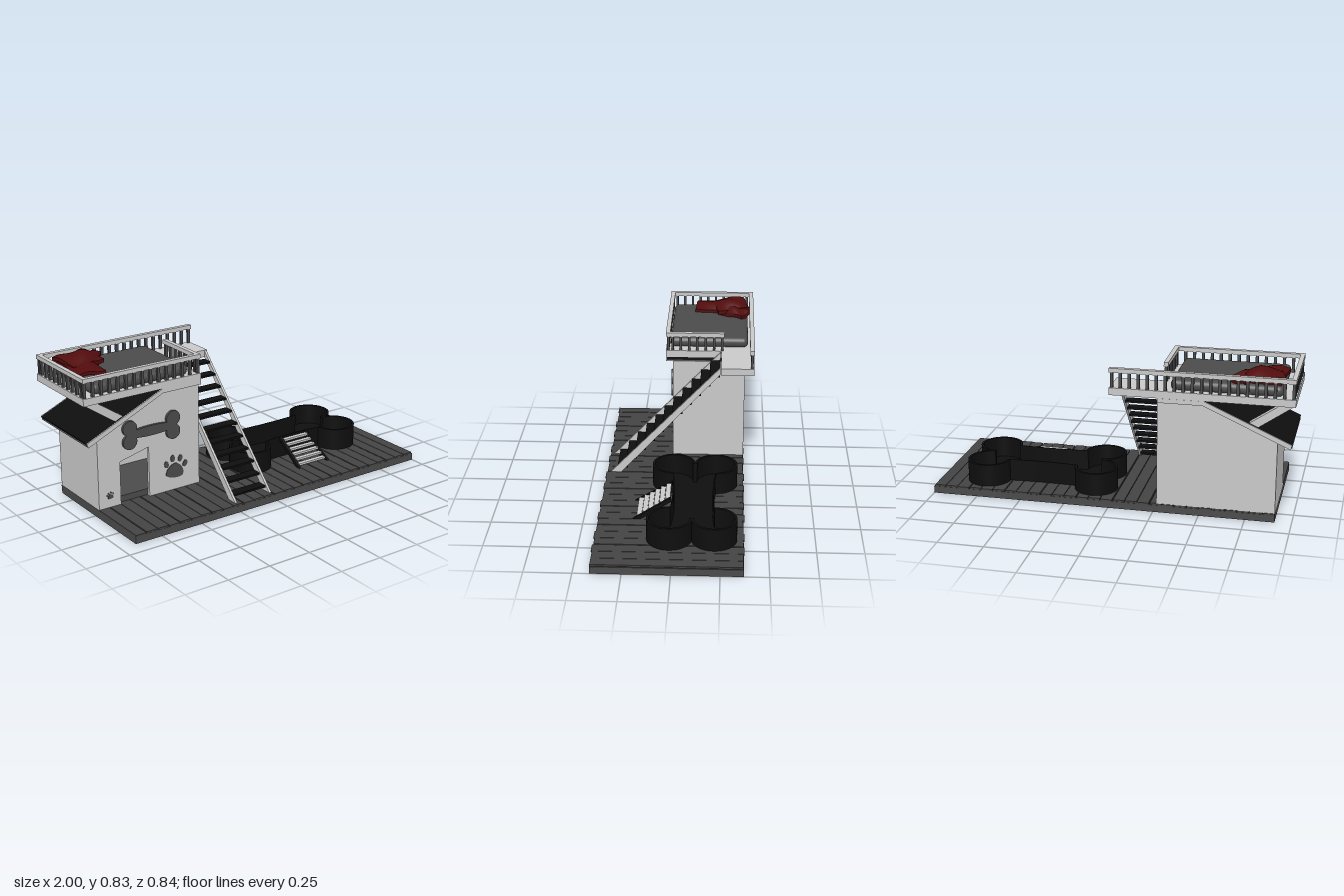
import * as THREE from 'three';
import { toCreasedNormals } from 'three/addons/utils/BufferGeometryUtils.js';
import { RoundedBoxGeometry } from 'three/addons/geometries/RoundedBoxGeometry.js';

const mat = (name, color) => new THREE.MeshStandardMaterial({ name, color });

export function createModel() {
  const light = mat('pale paint', 0xc9c9c9);
  const grey = mat('dark grey', 0x4b4b4b);
  const wood = mat('weathered wood', 0x444444);
  const under = mat('deck underlay', 0x262626);
  const black = mat('black', 0x0e0e0e);
  const red = mat('deep red', 0x520c0d);

  const model = new THREE.Group();
  model.name = 'petPlayhouse';

  const add = (name, geo, material, parent = model) => {
    const mesh = new THREE.Mesh(geo, material);
    mesh.name = name;
    parent.add(mesh);
    return mesh;
  };
  const group = (name) => {
    const g = new THREE.Group();
    g.name = name;
    model.add(g);
    return g;
  };
  // box given by its minimum and maximum on each axis
  const box = (name, x0, x1, y0, y1, z0, z1, material, parent) => add(name,
    new THREE.BoxGeometry(x1 - x0, y1 - y0, z1 - z0)
      .translate((x0 + x1) / 2, (y0 + y1) / 2, (z0 + z1) / 2), material, parent);
  const polygon = (pts) => new THREE.Shape(pts.map(([x, y]) => new THREE.Vector2(x, y)));
  const extrude = (shape, depth) => toCreasedNormals(
    new THREE.ExtrudeGeometry(shape, { depth, bevelEnabled: false, curveSegments: 24 }), 0.6);
  // XY profile between two z values
  const profileZ = (name, shape, z0, z1, material, parent) =>
    add(name, extrude(shape, z1 - z0).translate(0, 0, z0), material, parent);
  // ZY profile between two x values
  const profileX = (name, pts, x0, x1, material, parent) => add(name,
    extrude(polygon(pts), x1 - x0).rotateY(-Math.PI / 2).translate(x1, 0, 0), material, parent);

  // bone outline: four lobes of radius r at (+-a, +-b), joined by a pinched neck
  const bone = (a, b, r, end, neck) => {
    const s = new THREE.Shape();
    const t = Math.asin(Math.min(1, b / r)), P = Math.PI;
    const jx = a + r * Math.cos(end), jy = b + r * Math.sin(end);
    s.moveTo(a + r * Math.cos(t), b - r * Math.sin(t));
    s.absarc(a, b, r, -t, end, false);
    s.quadraticCurveTo(0, neck, -jx, jy);
    s.absarc(-a, b, r, P - end, P + t, false);
    s.absarc(-a, -b, r, P - t, P + end, false);
    s.quadraticCurveTo(0, -neck, jx, -jy);
    s.absarc(a, -b, r, 2 * P - end, 2 * P + t, false);
    return s;
  };

  // base: frame, cross beams and planks of slightly uneven length
  const base = group('base');
  box('frontBeam', -0.91, 1, 0, 0.04, 0.385, 0.412, grey, base);
  box('backBeam', -0.91, 1, 0, 0.04, -0.37, -0.343, grey, base);
  for (const x of [-0.91, -0.287, 0.346, 0.973])
    box('crossBeam', x, x + 0.027, 0, 0.04, -0.343, 0.385, grey, base);
  box('underlay', -0.905, 0.995, 0.032, 0.041, -0.365, 0.408, under, base);
  const planks = 28, pitch = 1.91 / planks;
  for (let i = 0; i < planks; i++) {
    const x = -0.91 + i * pitch, extra = (i * 7) % 5 < 2 ? 0.006 : 0;
    box('plank', x, x + pitch - (i % 3 ? 0.003 : 0.007), 0.04, 0.05,
      -0.368 - extra, 0.411 + extra, wood, base);
  }

  // house walls, with a slanted doorway in the front one
  const house = group('house');
  const gable = [[-0.27, 0.05], [-0.27, 0.645], [-0.52, 0.645], [-0.91, 0.47], [-0.91, 0.05]];
  const door = [[-0.775, 0.05], [-0.775, 0.295], [-0.595, 0.338], [-0.595, 0.05]];
  profileZ('frontWall', polygon([...gable, ...door]), 0.027, 0.045, light, house);
  profileZ('backWall', polygon(gable), -0.37, -0.352, light, house);
  box('rightWall', -0.91, -0.892, 0.05, 0.47, -0.352, 0.027, light, house);
  box('leftWall', -0.288, -0.27, 0.05, 0.645, -0.352, 0.027, light, house);
  box('indoorCushion', -0.885, -0.3, 0.05, 0.085, -0.345, 0.02, grey, house);

  // roof: sloped then flat, pale verge boards front and back
  const roof = group('roof');
  const roofBand = (lo, hi) => polygon([[-0.98, 0.435 + lo], [-0.52, 0.641 + lo], [-0.28, 0.641 + lo],
    [-0.28, 0.641 + hi], [-0.525, 0.641 + hi], [-0.99, 0.435 + hi]]);
  profileZ('roofCovering', roofBand(0.008, 0.024), -0.415, 0.079, black, roof);
  profileZ('roofLining', roofBand(0.001, 0.008), -0.415, 0.079, grey, roof);
  profileZ('frontVerge', roofBand(0, 0.024), 0.079, 0.085, light, roof);
  profileZ('backVerge', roofBand(0, 0.024), -0.421, -0.415, light, roof);

  // bone plaque and paw marks on the front wall
  const plaque = profileZ('bonePlaque', bone(0.136, 0.038, 0.043, 3.5, 0.034), 0, 0.015, grey);
  plaque.position.set(-0.58, 0.436, 0.045);
  const paw = (x, y, s, turn) => {
    const g = group('pawMark');
    g.position.set(x, y, 0.045);
    g.rotation.z = turn;
    g.scale.set(s, s, 1);
    const pad = new THREE.Shape();
    pad.moveTo(-0.055, -0.035);
    pad.bezierCurveTo(-0.03, -0.05, 0.03, -0.05, 0.055, -0.035);
    pad.bezierCurveTo(0.07, 0, 0.03, 0.04, 0, 0.042);
    pad.bezierCurveTo(-0.03, 0.04, -0.07, 0, -0.055, -0.035);
    profileZ('pad', pad, 0, 0.004, grey, g);
    for (const [tx, ty] of [[-0.064, 0.036], [-0.026, 0.07], [0.026, 0.07], [0.064, 0.036]]) {
      const toe = new THREE.Shape().absellipse(tx, ty, 0.014, 0.021, 0, Math.PI * 2, false, -tx * 5);
      profileZ('toe', toe, 0, 0.004, grey, g);
    }
  };
  paw(-0.43, 0.165, 0.95, -0.15);
  paw(-0.84, 0.113, 0.28, 0.2);

  // upper deck with its walkway to the stairs, and slanting braces
  const deck = group('upperDeck');
  box('deckFloor', -1, -0.28, 0.665, 0.705, -0.42, 0.085, light, deck);
  box('walkway', -0.28, -0.02, 0.665, 0.705, -0.42, -0.235, light, deck);
  const brace = polygon([[-0.995, 0.667], [-0.785, 0.522], [-0.74, 0.545], [-0.92, 0.667]]);
  for (const z of [0.03, -0.405]) profileZ('brace', brace, z, z + 0.04, light, deck);

  // railings: handrail on evenly spaced balusters
  const railing = (x0, z0, x1, z1, gap = 0.048) => {
    const g = group('railing'), h = 0.0125;
    box('handrail', x0 - h, x1 + h, 0.789, 0.812, z0 - h, z1 + h, light, g);
    const n = Math.round(Math.max(x1 - x0, z1 - z0) / gap);
    for (let i = 0; i <= n; i++) {
      const x = x0 + (x1 - x0) * i / n, z = z0 + (z1 - z0) * i / n;
      box('baluster', x - 0.008, x + 0.008, 0.705, 0.789, z - 0.007, z + 0.007, grey, g);
    }
  };
  railing(-0.987, -0.407, -0.033, -0.407);
  railing(-0.987, 0.072, -0.293, 0.072);
  railing(-0.987, -0.382, -0.987, 0.047);
  railing(-0.293, -0.238, -0.293, 0.047);

  // sleeping cushion
  add('cushion', new RoundedBoxGeometry(0.59, 0.06, 0.445, 5, 0.028)
    .translate(-0.635, 0.729, -0.163), grey);

  // crumpled blanket: overlapping bulged folds
  const blanket = group('blanket');
  const fold = (x, y, z, w, h, d, rise, turn, tilt) => {
    const geo = new RoundedBoxGeometry(w, h, d, 8, h * 0.45);
    const fine = new THREE.BoxGeometry(w, h, d, 10, 2, 10);
    const p = fine.attributes.position;
    for (let i = 0; i < p.count; i++) {
      const u = p.getX(i) / w, v = p.getZ(i) / d;
      const lift = rise * Math.cos(u * 2.6) * Math.cos(v * 3) + 0.006 * Math.sin(u * 7 + v * 5);
      p.setY(i, p.getY(i) * (1 - 1.2 * Math.max(u * u, v * v)) + lift);
    }
    geo.dispose();
    const mesh = add('fold', toCreasedNormals(fine, 0.8), red, blanket);
    mesh.position.set(x, y, z);
    mesh.rotation.set(tilt, turn, 0);
  };
  fold(-0.845, 0.767, -0.215, 0.165, 0.026, 0.28, 0.018, -0.08, -0.02);
  fold(-0.82, 0.785, -0.285, 0.2, 0.03, 0.19, 0.03, 0.18, 0.04);
  fold(-0.735, 0.768, -0.31, 0.11, 0.03, 0.16, 0.03, -0.6, 0.05);

  // staircase: two stringers and eleven treads
  const stairs = group('staircase');
  const stringer = [[0.33, 0.05], [0.39, 0.05], [-0.23, 0.705], [-0.23, 0.665]];
  for (const x of [-0.272, -0.042]) profileX('stringer', stringer, x, x + 0.014, light, stairs);
  for (let i = 0; i < 11; i++) {
    const y = 0.075 + i * 0.0575, z = 0.296 - i * 0.0525;
    box('tread', -0.258, -0.042, y - 0.005, y + 0.006, z, z + 0.058, black, stairs);
  }

  // bone-shaped pool with an open top
  const pool = group('bonePool');
  const wall = bone(0.31, 0.1175, 0.12, Math.PI, 0.105);
  wall.holes.push(bone(0.31, 0.1175, 0.106, Math.PI, 0.09));
  add('poolWall', extrude(wall, 0.125).rotateX(-Math.PI / 2), black, pool);
  add('poolFloor', extrude(bone(0.31, 0.1175, 0.118, Math.PI, 0.103), 0.008)
    .rotateX(-Math.PI / 2), black, pool);
  pool.position.set(0.41, 0.05, -0.0975);

  // small pool ladder, slightly wider at the foot
  const ladder = group('poolLadder');
  const rail = [[0.185, 0.05], [0.227, 0.05], [0.02, 0.178], [0.02, 0.152]];
  for (const s of [-1, 1]) {
    const m = profileX('ladderRail', rail, -0.008, 0.008, black, ladder);
    m.position.x = 0.411 + s * 0.088;
    m.rotation.y = s * 0.07;
  }
  for (let i = 0; i < 6; i++) {
    const y = 0.064 + i * 0.0195, z = 0.178 - i * 0.0305, w = 0.094 - i * 0.002;
    box('rung', 0.411 - w, 0.411 + w, y - 0.006, y + 0.006, z, z + 0.027, light, ladder);
  }

  return model;
}
